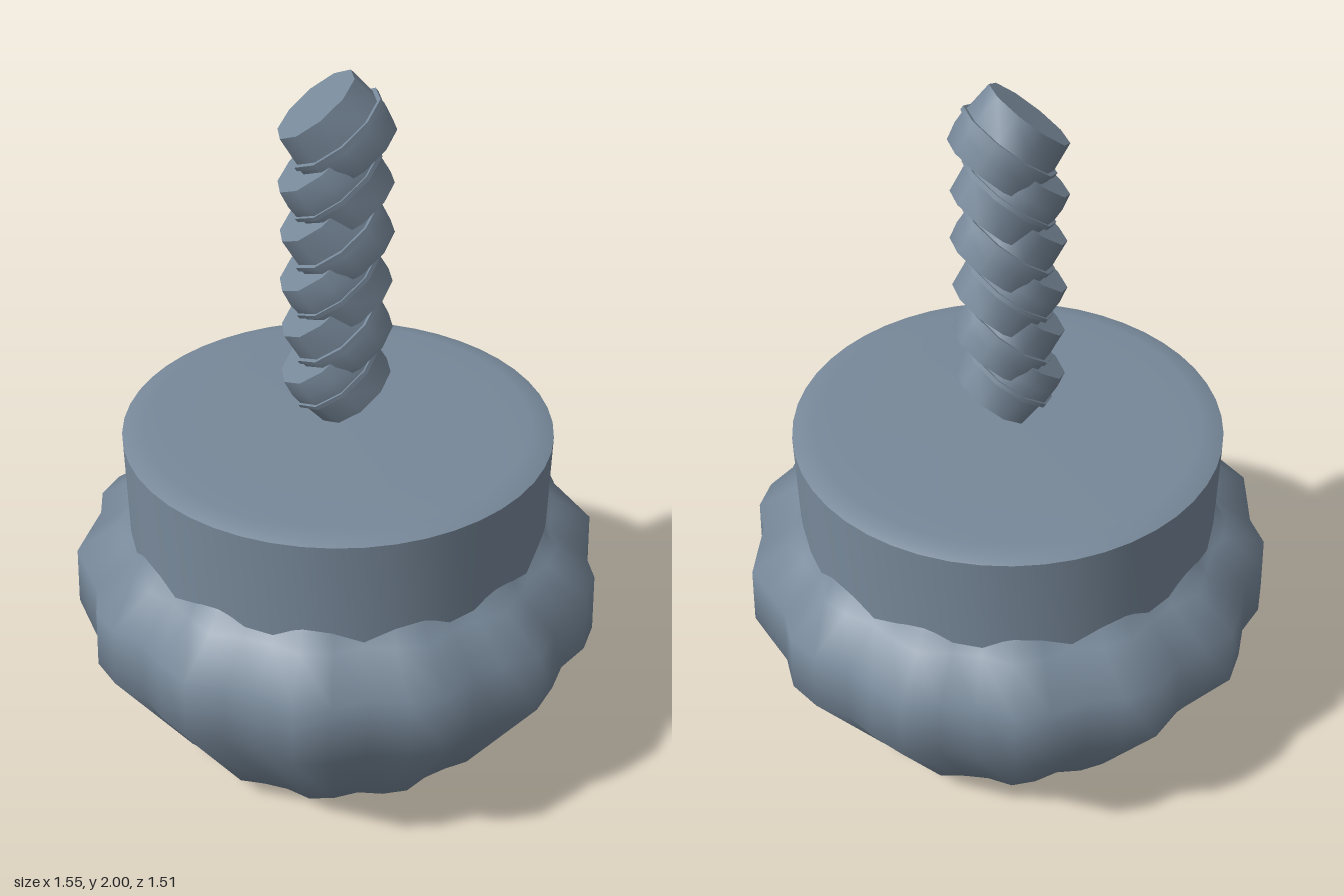
import * as THREE from 'three';
import { mergeVertices, toCreasedNormals } from 'three/addons/utils/BufferGeometryUtils.js';

const lathe = (profile, sides) =>
  new THREE.LatheGeometry(profile.map(([r, y]) => new THREE.Vector2(r, y)), sides);

// Bowl with 14 soft ribs that scale with its radius
function ribbedBowl() {
  const profile = [[0, 0], [0.53, 0.07], [0.755, 0.43], [0.745, 0.61], [0.63, 0.69], [0.6, 0.735], [0.56, 0.77]];
  let geo = lathe(profile, 48);
  const pos = geo.attributes.position;
  for (let i = 0; i < pos.count; i++) {
    const x = pos.getX(i), z = pos.getZ(i);
    const k = 1 + 0.027 * Math.cos(14 * Math.atan2(z, x));
    pos.setX(i, x * k);
    pos.setZ(i, z * k);
  }
  // weld the seam so the shading runs smoothly all round
  geo.deleteAttribute('uv');
  geo.deleteAttribute('normal');
  geo = mergeVertices(geo, 1e-4);
  geo.computeVertexNormals();
  return geo;
}

export function createModel() {
  const group = new THREE.Group();
  const slate = new THREE.MeshStandardMaterial({ color: 0x778899 });
  slate.name = 'slate grey';

  const add = (name, geometry) => {
    const mesh = new THREE.Mesh(geometry, slate);
    mesh.name = name;
    group.add(mesh);
    return mesh;
  };

  add('bowl', ribbedBowl());

  // Straight collar and its slightly domed lid
  add('collar', toCreasedNormals(lathe([[0.605, 0.6], [0.605, 1.005]], 48), 0.8));
  add('lid', lathe([[0.605, 1.005], [0.58, 1.014], [0.54, 1.021], [0.4, 1.023], [0, 1.025]], 48));

  // Handle: six short drums tilted alternately, each with a small ledge round the middle
  const drum = toCreasedNormals(lathe([
    [0, -0.085], [0.128, -0.085], [0.137, -0.04], [0.137, -0.006],
    [0.144, -0.006], [0.144, 0.006], [0.133, 0.006], [0.124, 0.085], [0, 0.085],
  ], 10), 0.8);
  for (let i = 0; i < 6; i++) {
    const mesh = add('handleTwist' + (i + 1), drum);
    mesh.position.set(-0.004, 1.86 - i * 0.138, 0);
    // the lower half mirrors the upper half
    const tilt = THREE.MathUtils.degToRad(38);
    mesh.rotation.z = i % 2 ? -tilt : tilt;
    if (i % 2) mesh.rotation.x = Math.PI;
  }

  return group;
}
